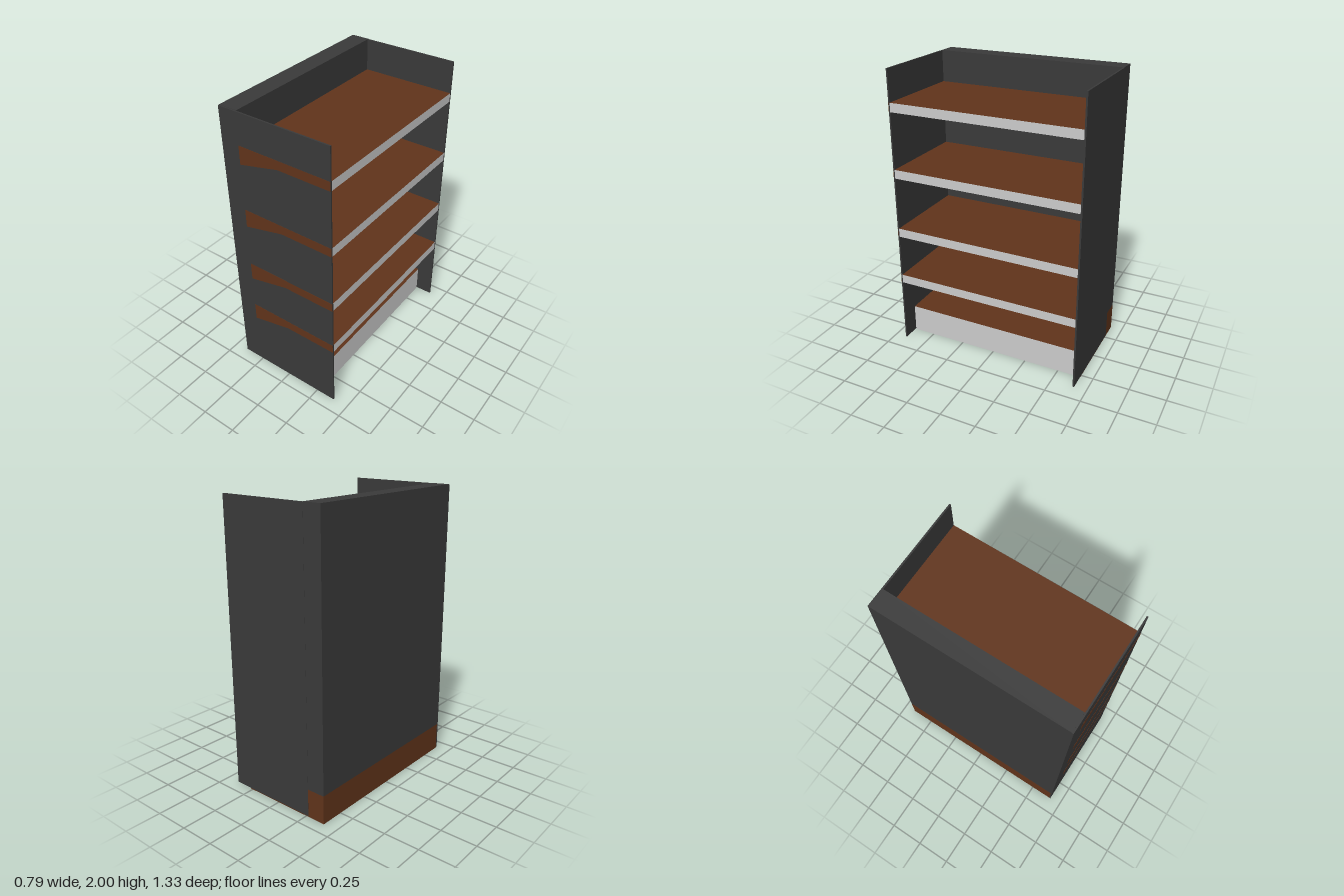
import * as THREE from 'three';

const dark = new THREE.MeshStandardMaterial({ color: 0x3a3a3a, flatShading: true });
const brown = new THREE.MeshStandardMaterial({ color: 0x61341b, flatShading: true });
const grey = new THREE.MeshStandardMaterial({ color: 0xcccccc, flatShading: true });

const BACK = -0.398, INNER = -0.268, FRONT = 0.393; // depth positions along x
const END = 0.665, WALL = 0.01;                     // half length and side panel thickness along z
const THICK = 0.062;                                // shelf thickness

// Box given by its limits; frontMaterial, if set, covers the +x face
function box(name, [x0, x1], [y0, y1], [z0, z1], material, frontMaterial = material) {
  const geometry = new THREE.BoxGeometry(x1 - x0, y1 - y0, z1 - z0);
  const rest = Array(5).fill(material);
  const mesh = new THREE.Mesh(geometry, frontMaterial === material ? material : [frontMaterial, ...rest]);
  mesh.position.set((x0 + x1) / 2, (y0 + y1) / 2, (z0 + z1) / 2);
  mesh.name = name;
  return mesh;
}

// Side profile in x and y, extruded from z0 to z1
function prism(name, points, z0, z1, material) {
  const shape = new THREE.Shape(points.map(([x, y]) => new THREE.Vector2(x, y)));
  const geometry = new THREE.ExtrudeGeometry(shape, { depth: z1 - z0, bevelEnabled: false });
  const mesh = new THREE.Mesh(geometry, material);
  mesh.position.z = z0;
  mesh.name = name;
  return mesh;
}

export function createModel() {
  const group = new THREE.Group();
  group.name = 'shelfUnit';
  const inside = END - WALL;

  // Plinth and thick back wall standing on it
  group.add(box('base', [BACK, 0.27], [0, 0.2], [-END, inside], brown, grey));
  group.add(box('backWall', [BACK, INNER], [0.2, 2], [-END, inside], dark));

  // Thin end panels: one covers the back wall's end, the other stops at it
  group.add(box('leftPanel', [BACK - 0.001, FRONT], [0.006, 1.998], [inside, END], dark));
  group.add(box('rightPanel', [INNER, FRONT], [0.006, 1.998], [-END - 0.001, -inside], dark));

  // Shelves with a tapered bracket at each end
  for (const top of [1.78, 1.326, 0.895, 0.532]) {
    const under = top - THICK, low = under - 0.067;
    const shelf = new THREE.Group();
    shelf.name = 'shelf';
    shelf.add(box('board', [INNER, FRONT], [under, top], [-inside, inside], brown, grey));
    const taper = [[INNER, low], [0.02, under], [INNER, under]];
    shelf.add(prism('leftBracket', taper, 0.605, inside, brown));
    shelf.add(prism('rightBracket', taper, -inside, -0.605, brown));
    // End of board and bracket showing on the outside of the left panel
    const outline = [[INNER, low], [0.02, under], [FRONT, under], [FRONT, top], [INNER, top]];
    shelf.add(prism('exposedEnd', outline, END - 0.002, END + 0.001, brown));
    group.add(shelf);
  }
  return group;
}
